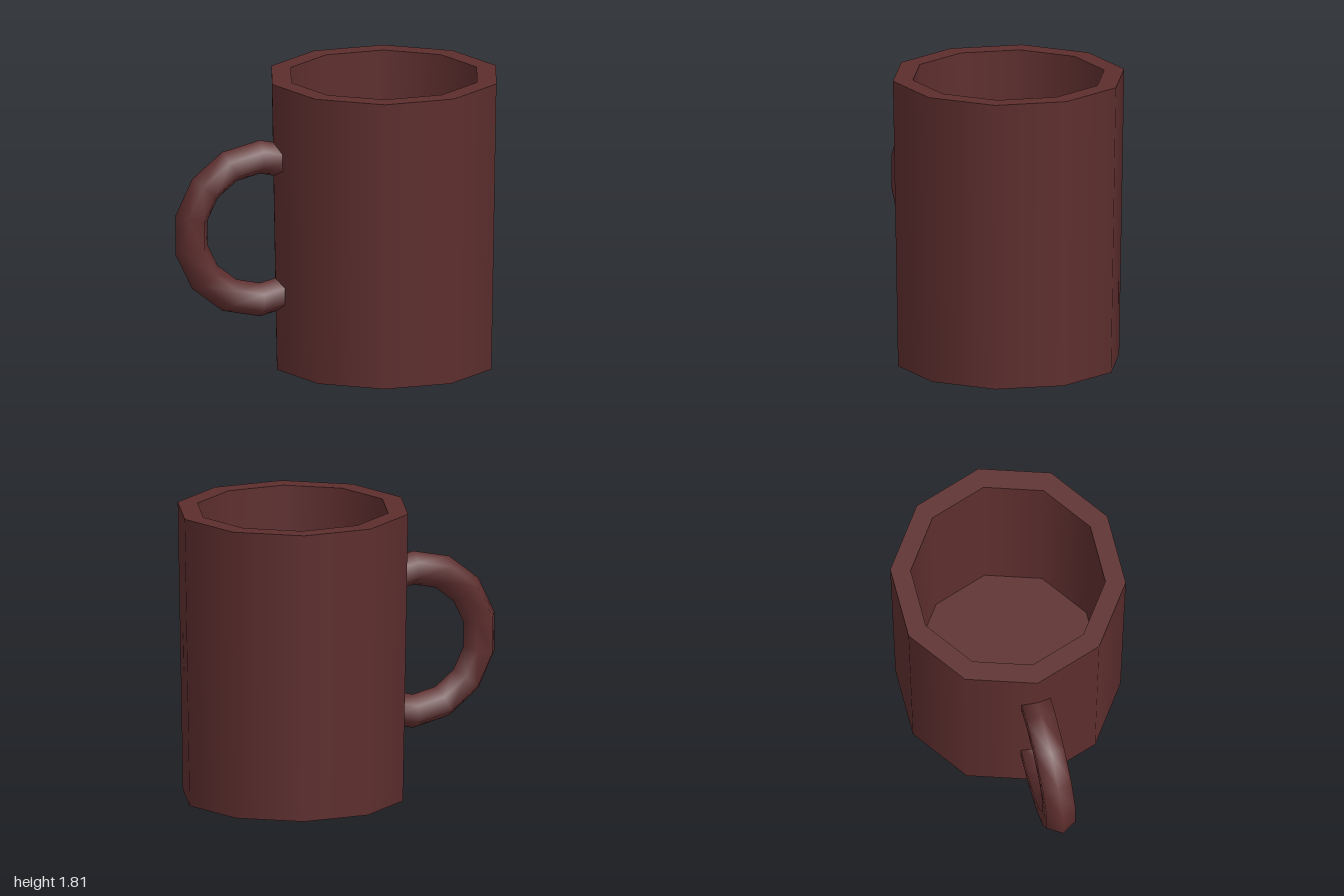
import * as THREE from 'three';

export function createModel() {
  const brown = new THREE.MeshStandardMaterial({ color: 0x5e2e2e, side: THREE.DoubleSide });
  brown.name = 'redBrown';

  const model = new THREE.Group();
  model.name = 'mug';
  model.position.x = 0.301;

  const sides = 10;
  const height = 1.81;
  const floorY = 0.31;
  const turn = THREE.MathUtils.degToRad(3);

  // Body: separate ten-sided bands keep the rim and floor edges sharp
  const band = (name, r0, y0, r1, y1) => {
    const profile = [new THREE.Vector2(r0, y0), new THREE.Vector2(r1, y1)];
    const mesh = new THREE.Mesh(new THREE.LatheGeometry(profile, sides), brown);
    mesh.name = name;
    mesh.rotation.y = turn;
    model.add(mesh);
  };
  band('outerWall', 0.691, 0, 0.723, height);
  band('rim', 0.723, height, 0.598, height);
  band('innerWall', 0.598, height, 0.57, floorY);
  band('floor', 0.57, floorY, 0, floorY); // raised, with the base left open below

  // Handle: nine steps of a fourteen-sided ring, hexagonal in section
  const steps = 9;
  const arc = (steps / 14) * Math.PI * 2;
  const ring = new THREE.TorusGeometry(0.452, 0.106, 6, steps, arc);
  ring.rotateZ(-arc / 2);
  ring.translate(0.802, 0.905, 0);
  const handle = new THREE.Mesh(ring, brown);
  handle.name = 'handle';
  handle.rotation.y = THREE.MathUtils.degToRad(165);
  model.add(handle);

  const root = new THREE.Group();
  root.add(model);
  return root;
}
